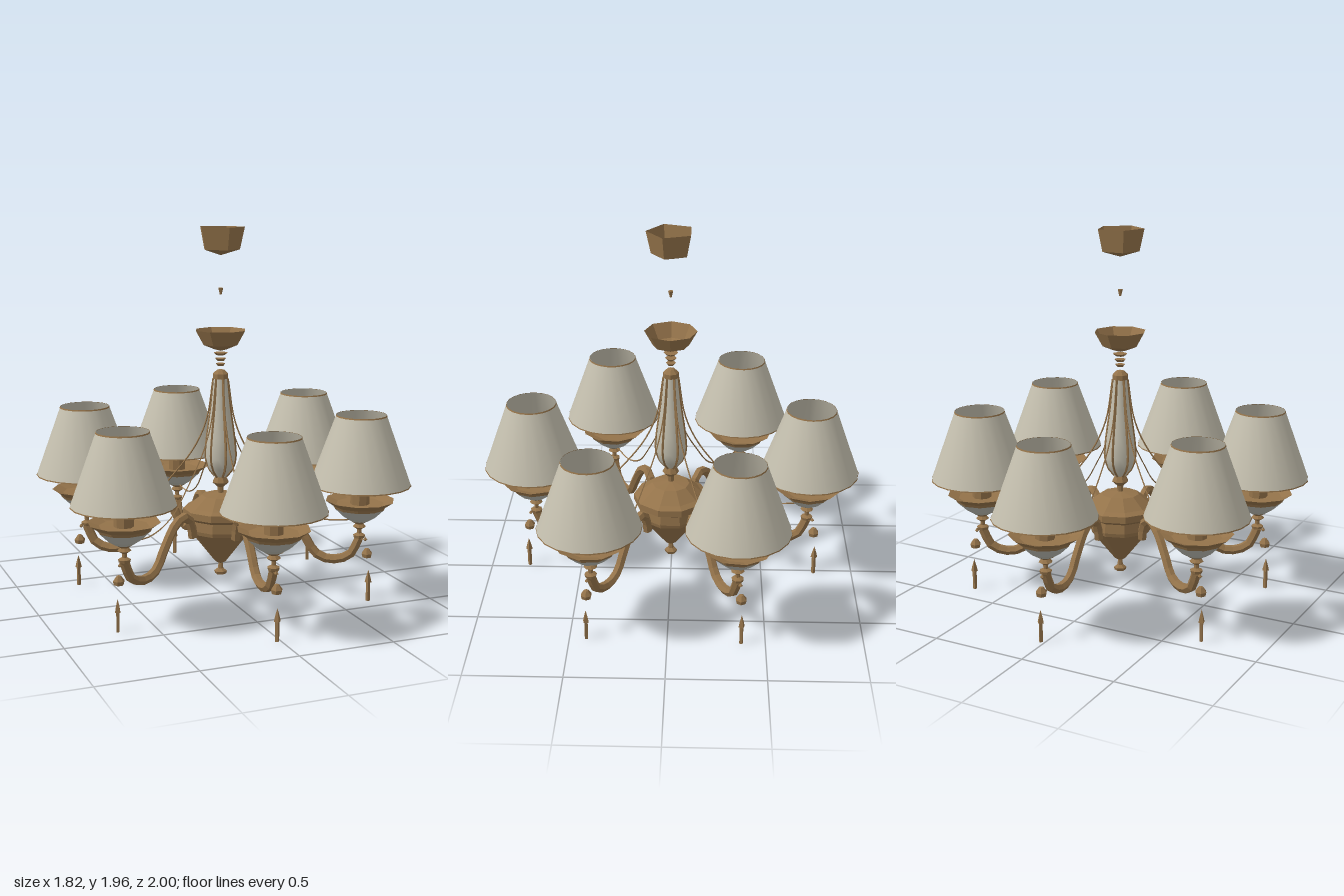
import * as THREE from 'three';

const brass = new THREE.MeshStandardMaterial({ color: 0x94734a, flatShading: true, side: THREE.DoubleSide });
brass.name = 'brass';
const fabric = new THREE.MeshStandardMaterial({ color: 0xc4bfae, side: THREE.DoubleSide });
fabric.name = 'shade fabric';
const ceramic = new THREE.MeshStandardMaterial({ color: 0xb6b6ac, flatShading: true, side: THREE.DoubleSide });
ceramic.name = 'ceramic';

function add(parent, name, geometry, material, x = 0, y = 0, z = 0) {
  const mesh = new THREE.Mesh(geometry, material);
  mesh.name = name;
  mesh.position.set(x, y, z);
  parent.add(mesh);
  return mesh;
}

// Turned part from [radius, height] pairs, listed bottom to top
function turned(parent, name, profile, sides, material, x = 0) {
  const points = profile.map(([r, y]) => new THREE.Vector2(r, y));
  return add(parent, name, new THREE.LatheGeometry(points, sides), material, x);
}

// Rod swept along [radius, height] points in the plane of an arm
function rod(parent, name, path, radius, sides, steps) {
  const curve = new THREE.CatmullRomCurve3(path.map(([x, y]) => new THREE.Vector3(x, y, 0)));
  return add(parent, name, new THREE.TubeGeometry(curve, steps, radius, sides), brass);
}

const LAMP = 0.738;
const DROP = 0.79;
const VASE = [[0.03, 0.645], [0.065, 0.69], [0.08, 0.75], [0.073, 0.85], [0.05, 1.02], [0.036, 1.17]];

function buildCentre() {
  const centre = new THREE.Group();
  centre.name = 'centreColumn';
  turned(centre, 'bottomFinial', [[0, 0.1], [0.03, 0.11], [0.035, 0.125], [0.015, 0.14], [0.01, 0.18]], 6, brass);
  turned(centre, 'hub', [[0, 0.165], [0.03, 0.18], [0.165, 0.35], [0.17, 0.37], [0.165, 0.42],
    [0.2, 0.44], [0.2, 0.475], [0.17, 0.49], [0.1, 0.545], [0, 0.56]], 10, brass);
  turned(centre, 'columnFoot', [[0.015, 0.55], [0.018, 0.59], [0.045, 0.615], [0.03, 0.645], [0, 0.65]], 8, brass);
  turned(centre, 'columnVase', VASE, 12, fabric);
  turned(centre, 'columnCap', [[0, 1.165], [0.042, 1.17], [0.042, 1.195], [0.02, 1.215], [0, 1.22]], 8, brass);
  for (const [y, r] of [[1.243, 0.026], [1.27, 0.03], [1.3, 0.038]]) {
    add(centre, 'neckRing', new THREE.CylinderGeometry(r, r * 0.6, 0.013, 8), brass, 0, y);
  }
  turned(centre, 'topDish', [[0, 1.315], [0.035, 1.325], [0.095, 1.35], [0.137, 1.425]], 8, brass);
  add(centre, 'chainLink', new THREE.CylinderGeometry(0.014, 0.005, 0.035, 5), brass, 0, 1.625);
  turned(centre, 'ceilingCup', [[0, 1.81], [0.1, 1.84], [0.125, 1.955]], 5, brass);
  return centre;
}

function buildBranch() {
  const branch = new THREE.Group();
  branch.name = 'branch';
  // Curved arm, swag wire and rib of the column
  rod(branch, 'arm', [[0.225, 0.36], [0.245, 0.445], [0.29, 0.48], [0.36, 0.455], [0.45, 0.34],
    [0.51, 0.25], [0.59, 0.22], [0.69, 0.25], [0.738, 0.345]], 0.025, 6, 16);
  rod(branch, 'swagWire', [[0.04, 1.17], [0.075, 0.95], [0.14, 0.8], [0.26, 0.64], [0.39, 0.5],
    [0.54, 0.437], [0.7, 0.44]], 0.004, 4, 24);
  rod(branch, 'columnRib', VASE, 0.007, 4, 12);

  // Lamp cup and candle
  turned(branch, 'armSocket', [[0, 0.335], [0.028, 0.345], [0.032, 0.36], [0.012, 0.37]], 8, brass, LAMP);
  turned(branch, 'cupStem', [[0.012, 0.365], [0.012, 0.39], [0.035, 0.405], [0.02, 0.42], [0.05, 0.437]], 8, brass, LAMP);
  turned(branch, 'cupBowl', [[0.045, 0.435], [0.085, 0.46], [0.132, 0.505]], 10, ceramic, LAMP);
  turned(branch, 'cupRim', [[0.132, 0.505], [0.14, 0.52], [0.182, 0.55], [0.125, 0.53], [0, 0.525]], 10, brass, LAMP);
  add(branch, 'candleSleeve', new THREE.CylinderGeometry(0.05, 0.05, 0.15, 8), brass, LAMP, 0.6);
  turned(branch, 'bulb', [[0.025, 0.675], [0.048, 0.72], [0.035, 0.77], [0, 0.82]], 8, ceramic, LAMP);

  // Lamp shade with thin trim
  turned(branch, 'lampShade', [[0.262, 0.635], [0.13, 1.0]], 20, fabric, LAMP);
  turned(branch, 'shadeBottomTrim', [[0.264, 0.632], [0.2625, 0.638]], 20, brass, LAMP);
  turned(branch, 'shadeTopTrim', [[0.1335, 0.994], [0.131, 1.001]], 20, brass, LAMP);

  // Hanging drops
  turned(branch, 'dropBead', [[0, 0.325], [0.012, 0.335], [0, 0.35]], 5, brass, DROP - 0.02);
  turned(branch, 'drop', [[0, 0.232], [0.025, 0.24], [0.03, 0.26], [0.012, 0.285], [0, 0.29]], 6, brass, DROP - 0.01);
  turned(branch, 'pendantRod', [[0, 0], [0.011, 0.001], [0.011, 0.1]], 4, brass, DROP);
  turned(branch, 'pendantTip', [[0, 0.1], [0.018, 0.102], [0.012, 0.13], [0, 0.17]], 4, brass, DROP);
  return branch;
}

export function createModel() {
  const model = new THREE.Group();
  model.name = 'chandelier';
  model.add(buildCentre());
  for (let i = 0; i < 6; i++) {
    const branch = buildBranch();
    branch.rotation.y = THREE.MathUtils.degToRad(28.5 + i * 60);
    model.add(branch);
  }
  return model;
}
